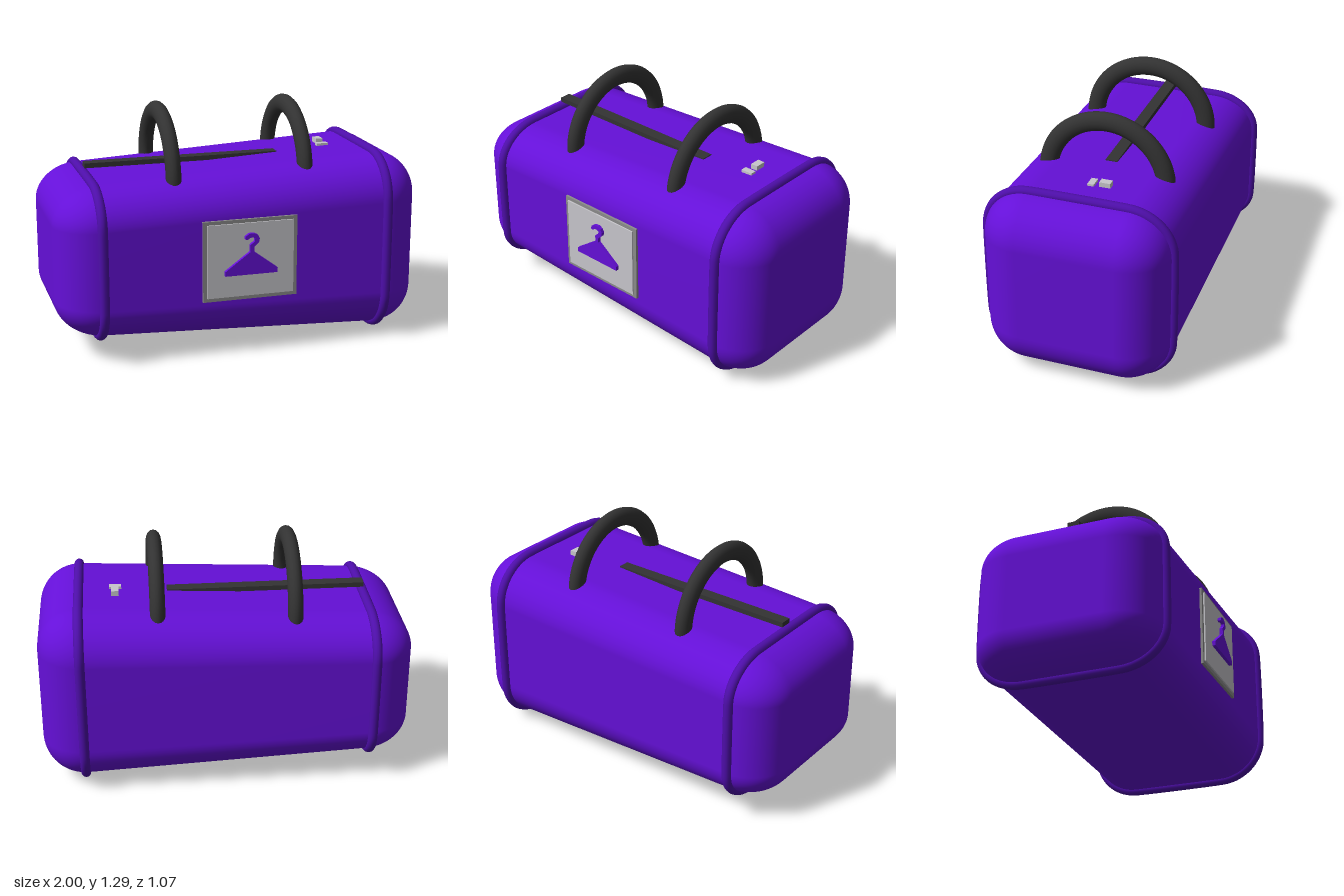
import * as THREE from 'three';
import { RoundedBoxGeometry } from 'three/addons/geometries/RoundedBoxGeometry.js';
import { mergeVertices } from 'three/addons/utils/BufferGeometryUtils.js';

const material = (name, color) => {
  const m = new THREE.MeshStandardMaterial({ color });
  m.name = name;
  return m;
};

// Body centre and corner radius; the bag grows taller towards +x
const CY = 0.518, CZ = -0.01, RADIUS = 0.24;
const halfHeight = (x) => 0.445 + 0.052 * x;

function bodyGeometry() {
  const g = new RoundedBoxGeometry(2, 1, 1, 10, RADIUS);
  const p = g.attributes.position;
  for (let i = 0; i < p.count; i++) p.setY(i, p.getY(i) * 2 * halfHeight(p.getX(i)));
  g.deleteAttribute('uv');
  g.deleteAttribute('normal');
  const smooth = mergeVertices(g, 1e-4);
  smooth.computeVertexNormals();
  return smooth;
}

// Rounded rectangular loop around the body at a given x
function pipingGeometry(x) {
  const scale = 2 * halfHeight(x), flat = 0.5 - RADIUS, steps = 10;
  const points = [];
  for (let corner = 0; corner < 4; corner++) {
    const mid = (corner + 0.5) * Math.PI / 2;
    const cz = Math.sign(Math.cos(mid)) * flat, cy = Math.sign(Math.sin(mid)) * flat;
    for (let i = 0; i <= steps; i++) {
      const a = (corner + i / steps) * Math.PI / 2;
      points.push(new THREE.Vector3(x, (cy + RADIUS * Math.sin(a)) * scale, cz + RADIUS * Math.cos(a)));
    }
  }
  const path = new THREE.CatmullRomCurve3(points, true);
  return new THREE.TubeGeometry(path, 160, 0.026, 12, true);
}

function hangerGeometry() {
  const outline = [
    [-0.145, 0.457], [0.14, 0.457], [0.14, 0.482], [0.01, 0.58], [0.01, 0.605],
    [0.036, 0.63], [0.04, 0.65], [0.03, 0.67], [0.01, 0.68], [-0.015, 0.679],
    [-0.036, 0.666], [-0.039, 0.65], [-0.027, 0.645], [-0.012, 0.656], [0.004, 0.658],
    [0.015, 0.65], [0.013, 0.636], [-0.01, 0.617], [-0.01, 0.58], [-0.145, 0.482],
  ];
  const shape = new THREE.Shape(outline.map(([x, y]) => new THREE.Vector2(x, y)));
  return new THREE.ExtrudeGeometry(shape, { depth: 0.018, bevelEnabled: false });
}

export function createModel() {
  const fabric = material('purple fabric', 0x6510d8);
  const trim = material('dark purple piping', 0x4e0eaa);
  const black = material('black webbing', 0x333333);
  const frameGrey = material('frame grey', 0x8c8c8c);
  const panelGrey = material('panel grey', 0xc8c7cc);

  const bag = new THREE.Group();
  bag.name = 'duffelBag';
  const add = (name, geometry, mat, x = 0, y = 0, z = 0) => {
    const mesh = new THREE.Mesh(geometry, mat);
    mesh.name = name;
    mesh.position.set(x, y, z);
    bag.add(mesh);
    return mesh;
  };
  // Box given by its minimum and maximum corners
  const addBox = (name, mat, [x0, y0, z0], [x1, y1, z1]) =>
    add(name, new THREE.BoxGeometry(x1 - x0, y1 - y0, z1 - z0), mat,
      (x0 + x1) / 2, (y0 + y1) / 2, (z0 + z1) / 2);

  add('body', bodyGeometry(), fabric, 0, CY, CZ);

  // Piping and carrying handles, one of each per side
  for (const [side, s] of [['left', 1], ['right', -1]]) {
    add(side + 'Piping', pipingGeometry(s * 0.775), trim, 0, CY, CZ);

    const arc = Math.PI * 1.2;
    const loop = new THREE.TorusGeometry(0.325, 0.052, 16, 56, arc);
    loop.rotateZ((Math.PI - arc) / 2);
    loop.rotateY(Math.PI / 2);
    loop.scale(0.78, 1, 1);
    add(side + 'Handle', loop, black, s * 0.362, 0.914, -0.01);
  }

  // Zip along the top, with its metal pull and tab
  addBox('zip', black, [-0.775, 0.958, -0.045], [0.3, 0.984, 0.02]);
  addBox('zipPull', panelGrey, [0.545, 0.98, -0.03], [0.61, 1.006, 0.005]);
  addBox('zipTab', panelGrey, [0.56, 0.98, -0.115], [0.6, 1.02, -0.055]);

  // Front badge: frame, panel and raised hanger
  addBox('badgeFrame', frameGrey, [-0.257, 0.313, 0.47], [0.257, 0.75, 0.503]);
  addBox('badgePanel', panelGrey, [-0.236, 0.334, 0.5], [0.236, 0.731, 0.511]);
  add('hanger', hangerGeometry(), fabric, 0, 0, 0.517);

  return bag;
}
